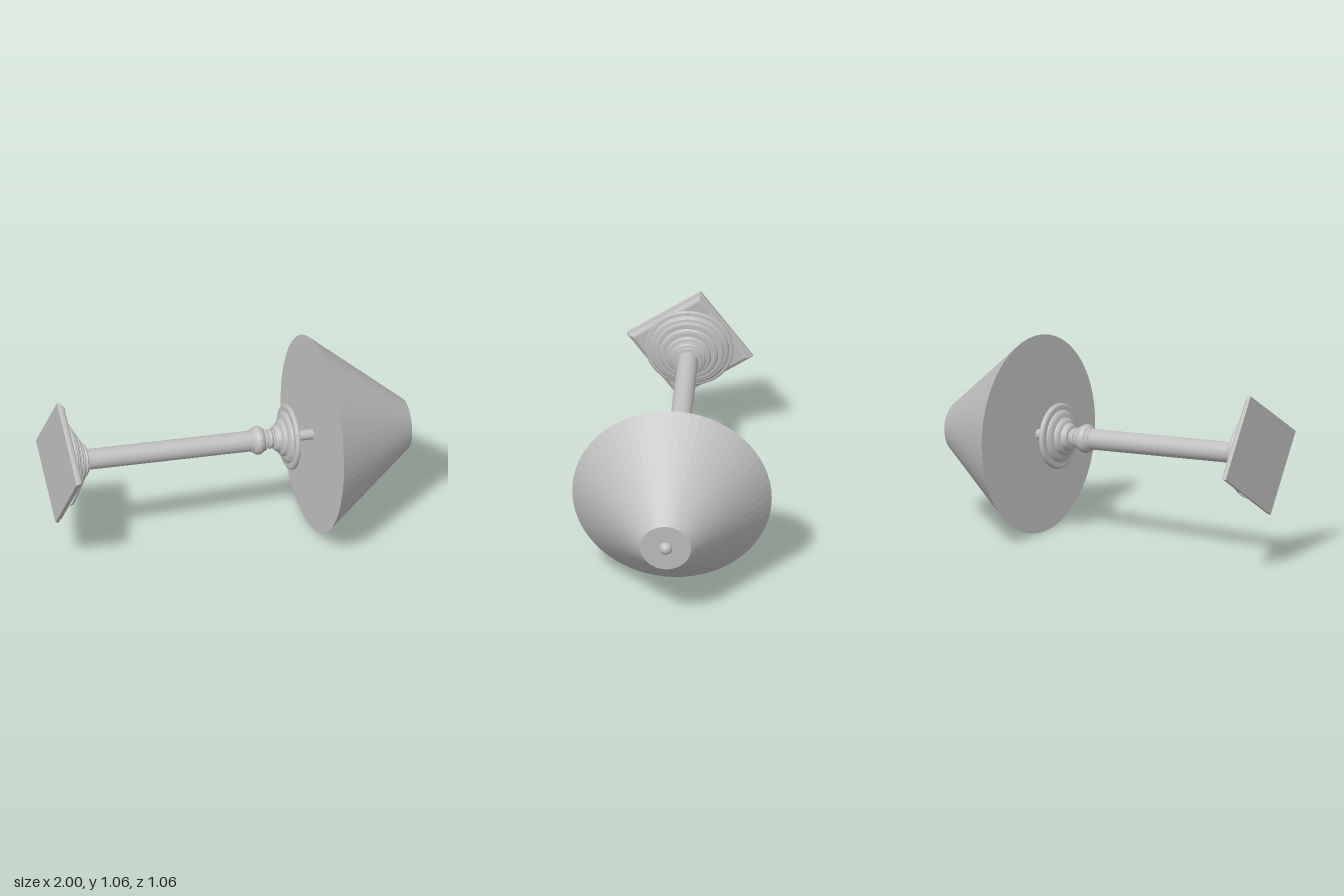
import * as THREE from 'three';

const metal = new THREE.MeshStandardMaterial({ color: 0xc0c0c0 });
metal.name = 'plain grey';

// Faceted solid of revolution from [radius, height] pairs, bottom to top
function turned(name, profile, segments = 64, phiStart = 0) {
  const points = profile.map(([r, h]) => new THREE.Vector2(r, h));
  const geometry = new THREE.LatheGeometry(points, segments, phiStart).toNonIndexed();
  geometry.computeVertexNormals();
  const mesh = new THREE.Mesh(geometry, metal);
  mesh.name = name;
  return mesh;
}

export function createModel() {
  const lamp = new THREE.Group();
  lamp.name = 'tableLamp';

  // Square plinth with a moulded edge
  lamp.add(turned('plinth', [
    [0, 0], [0.34, 0], [0.34, 0.018], [0.326, 0.022], [0.322, 0.032],
    [0.312, 0.04], [0.3, 0.044], [0, 0.044],
  ], 4, -0.177));

  // Stepped round foot
  lamp.add(turned('foot', [
    [0.235, 0.04], [0.235, 0.05], [0.228, 0.055], [0.212, 0.057], [0.21, 0.068],
    [0.2, 0.075], [0.186, 0.078], [0.184, 0.086], [0.175, 0.09], [0.152, 0.091],
    [0.156, 0.1], [0.15, 0.109], [0.138, 0.113], [0.118, 0.114], [0.12, 0.122],
    [0.114, 0.132], [0.096, 0.137], [0.09, 0.14], [0.093, 0.148], [0.088, 0.155],
    [0.076, 0.158], [0.074, 0.166], [0.055, 0.17],
  ]));

  // Column
  lamp.add(turned('column', [[0.055, 0.15], [0.055, 1.09]]));

  // Turned collar above the column
  lamp.add(turned('collar', [
    [0.054, 1.078], [0.06, 1.082], [0.06, 1.092], [0.071, 1.102], [0.077, 1.118],
    [0.076, 1.132], [0.067, 1.147], [0.06, 1.152], [0.06, 1.163], [0.044, 1.168],
    [0.042, 1.176], [0.051, 1.181], [0.053, 1.19], [0.05, 1.199], [0.043, 1.204],
    [0.047, 1.215],
  ]));

  // Flared cup with a rounded rim
  lamp.add(turned('cup', [
    [0.045, 1.208], [0.062, 1.212], [0.07, 1.224], [0.074, 1.237], [0.09, 1.243],
    [0.098, 1.252], [0.1, 1.262], [0.122, 1.267], [0.135, 1.275], [0.14, 1.283],
    [0.165, 1.284], [0.174, 1.29], [0.176, 1.3], [0.172, 1.309], [0.16, 1.313],
    [0, 1.313],
  ]));

  // Socket stem into the shade
  lamp.add(turned('stem', [[0, 1.3], [0.028, 1.3], [0.028, 1.44], [0, 1.44]]));

  // Closed conical shade
  lamp.add(turned('shade', [[0, 1.431], [0.53, 1.431], [0.135, 1.944], [0, 1.944]]));

  // Finial ball
  const finial = new THREE.Mesh(new THREE.SphereGeometry(0.036, 32, 20), metal);
  finial.name = 'finial';
  finial.position.y = 1.942;
  lamp.add(finial);

  // Lay the lamp along its slightly tilted axis
  const axis = new THREE.Vector3(1, -0.07, -0.09).normalize();
  const side = new THREE.Vector3(0, -1, 0);
  side.addScaledVector(axis, -side.dot(axis)).normalize();
  const front = new THREE.Vector3().crossVectors(side, axis);
  lamp.quaternion.setFromRotationMatrix(new THREE.Matrix4().makeBasis(side, axis, front));
  lamp.position.set(-0.965, 0.629, 0.128);

  const model = new THREE.Group();
  model.name = 'model';
  model.add(lamp);
  return model;
}
